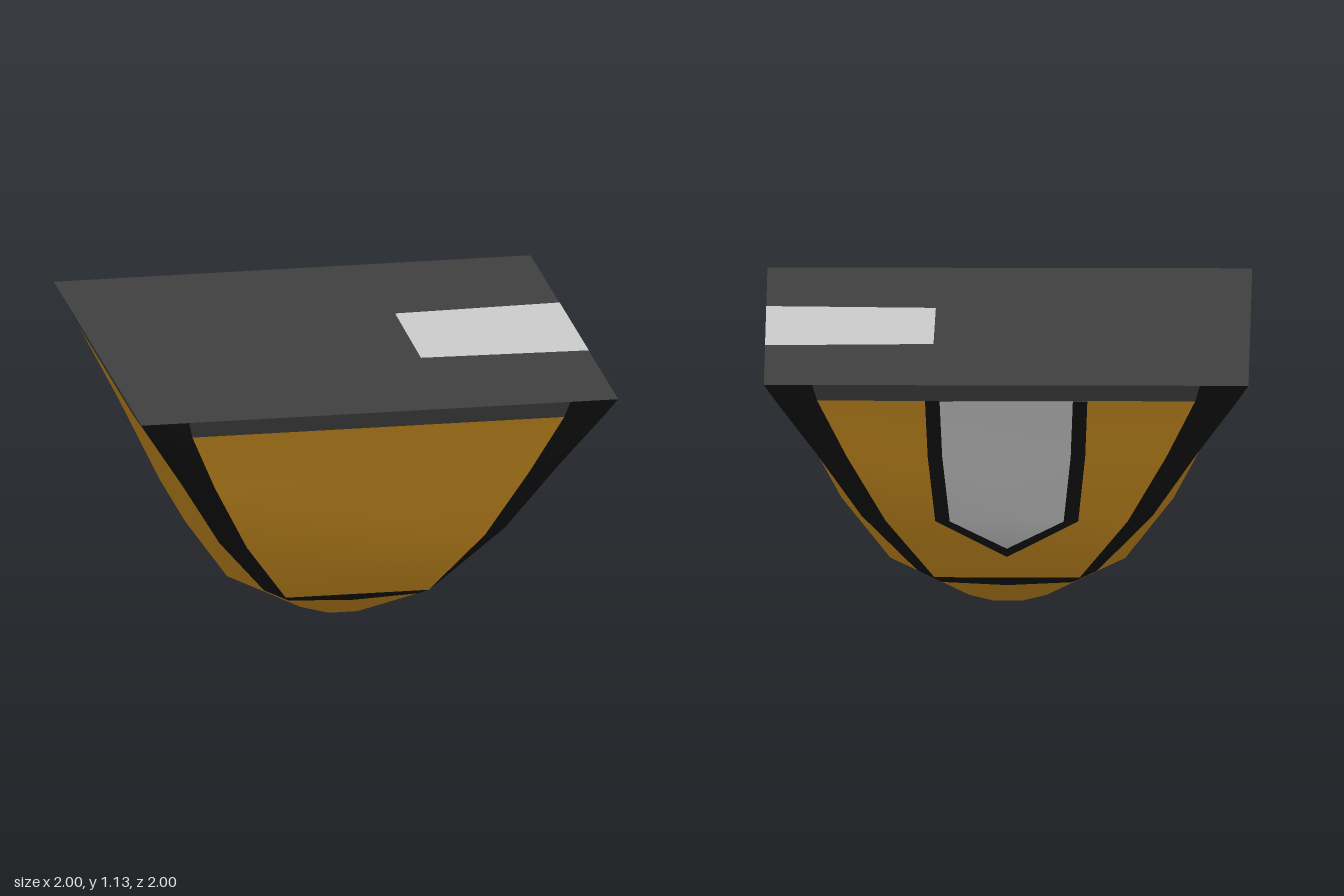
import * as THREE from 'three';

const grey = new THREE.MeshStandardMaterial({ color: 0xcccccc });
const amber = new THREE.MeshStandardMaterial({ color: 0xcc8e20 });
const dark = new THREE.MeshStandardMaterial({ color: 0x404040 });
const black = new THREE.MeshStandardMaterial({ color: 0x131313 });

// Wall levels: height, flat face distance, corner, panel half width, side flat half width
const levels = [
  { y: 1.125, h: 1, c: 1, f: 0.8, s: 0.7 },
  { y: 1.05, h: 0.965, c: 0.955, f: 0.78, s: 0.62 },
  { y: 0.78, h: 0.83, c: 0.785, f: 0.66, s: 0.45 },
  { y: 0.47, h: 0.685, c: 0.6, f: 0.5, s: 0.29 },
  { y: 0.18, h: 0.485, c: 0.37, f: 0.3, s: 0.15 },
];
const rim = levels.slice(0, 2);
const wall = levels.slice(1);

// Wall distance at any height
function depth(y) {
  for (let i = 1; i < levels.length; i++) {
    const a = levels[i - 1], b = levels[i];
    if (y >= b.y) return b.h + (a.h - b.h) * (y - b.y) / (a.y - b.y);
  }
  return levels[4].h;
}

// Skin between rows of points, rows from top to bottom, points from left to right
function patch(name, rows, material) {
  const n = rows[0].length, index = [];
  for (let r = 0; r < rows.length - 1; r++) {
    for (let i = 0; i < n - 1; i++) {
      const a = r * n + i, b = a + n;
      index.push(a, b, b + 1, a, b + 1, a + 1);
    }
  }
  const geometry = new THREE.BufferGeometry();
  geometry.setAttribute('position', new THREE.Float32BufferAttribute(rows.flat(2), 3));
  geometry.setIndex(index);
  geometry.computeVertexNormals();
  const mesh = new THREE.Mesh(geometry, material);
  mesh.name = name;
  return mesh;
}

// Front (or back) face with its black frame
function buildEnd() {
  const g = new THREE.Group();
  const panel = (l) => [[-l.f, l.y, l.h], [l.f, l.y, l.h]];
  g.add(patch('rim', rim.map(panel), dark));
  g.add(patch('panel', wall.map(panel), amber));
  g.add(patch('frameLeftEdge', levels.map((l) => [[l.f, l.y, l.h], [l.c, l.y, l.c]]), black));
  g.add(patch('frameRightEdge', levels.map((l) => [[-l.c, l.y, l.c], [-l.f, l.y, l.h]]), black));
  const edge = [[-0.37, 0.18, 0.37], [-0.27, 0.135, 0.385], [0, 0.12, 0.377], [0.27, 0.135, 0.385], [0.37, 0.18, 0.37]];
  const ledge = [-0.3, -0.3, 0, 0.3, 0.3].map((x) => [x, 0.18, 0.485]);
  g.add(patch('frameBottom', [ledge, edge], black));
  const foot = [[-0.11, 0, 0.11], [-0.06, 0, 0.16], [0, 0, 0.16], [0.06, 0, 0.16], [0.11, 0, 0.11]];
  g.add(patch('lowerBowl', [edge, foot], amber));
  return g;
}

// Left (or right) face with softly rounded corners
function buildSide() {
  const g = new THREE.Group();
  const row = (l) => [[l.c, l.y, l.c], [l.h, l.y, l.s], [l.h, l.y, -l.s], [l.c, l.y, -l.c]];
  g.add(patch('rim', rim.map(row), dark));
  g.add(patch('sideWall', wall.map(row), amber));
  const foot = [[0.11, 0, 0.11], [0.16, 0, 0.06], [0.16, 0, -0.06], [0.11, 0, -0.11]];
  g.add(patch('lowerBowl', [row(levels[4]), foot], amber));
  return g;
}

export function createModel() {
  const model = new THREE.Group();

  for (const [i, name] of ['front', 'back'].entries()) {
    const end = buildEnd();
    end.name = name + 'Face';
    end.rotation.y = i * Math.PI;
    model.add(end);
  }
  for (const [i, name] of ['left', 'right'].entries()) {
    const side = buildSide();
    side.name = name + 'Face';
    side.rotation.y = i * Math.PI;
    model.add(side);
  }

  // Pointed window on the back face, following the bend of the wall
  const windowRows = (outline, lift) => outline.map(([y, w]) =>
    [[-w, y, depth(y) + lift], [w, y, depth(y) + lift]]);
  const backWindow = new THREE.Group();
  backWindow.name = 'backWindow';
  backWindow.rotation.y = Math.PI;
  backWindow.add(patch('windowTrim',
    windowRows([[1.05, 0.335], [0.78, 0.325], [0.47, 0.295], [0.287, 0]], 0.006), black));
  backWindow.add(patch('windowPane',
    windowRows([[1.05, 0.275], [0.78, 0.265], [0.47, 0.235], [0.33, 0]], 0.01), grey));
  model.add(backWindow);

  // Square top with a pale inset panel reaching the left edge
  const top = new THREE.Mesh(new THREE.PlaneGeometry(2, 2).rotateX(-Math.PI / 2), dark);
  top.name = 'top';
  top.position.y = 1.125;
  model.add(top);
  model.add(patch('topPanel', [
    [[0.305, 1.128, -0.31], [1, 1.128, -0.335]],
    [[0.3, 1.128, 0.305], [1, 1.128, 0.33]],
  ], grey));

  // Small flat foot
  const foot = [[0.16, 0.06], [0.11, 0.11], [0.06, 0.16], [-0.06, 0.16], [-0.11, 0.11], [-0.16, 0.06]];
  model.add(patch('base', foot.map(([z, x]) => [[-x, 0, z], [x, 0, z]]), amber));

  return model;
}
